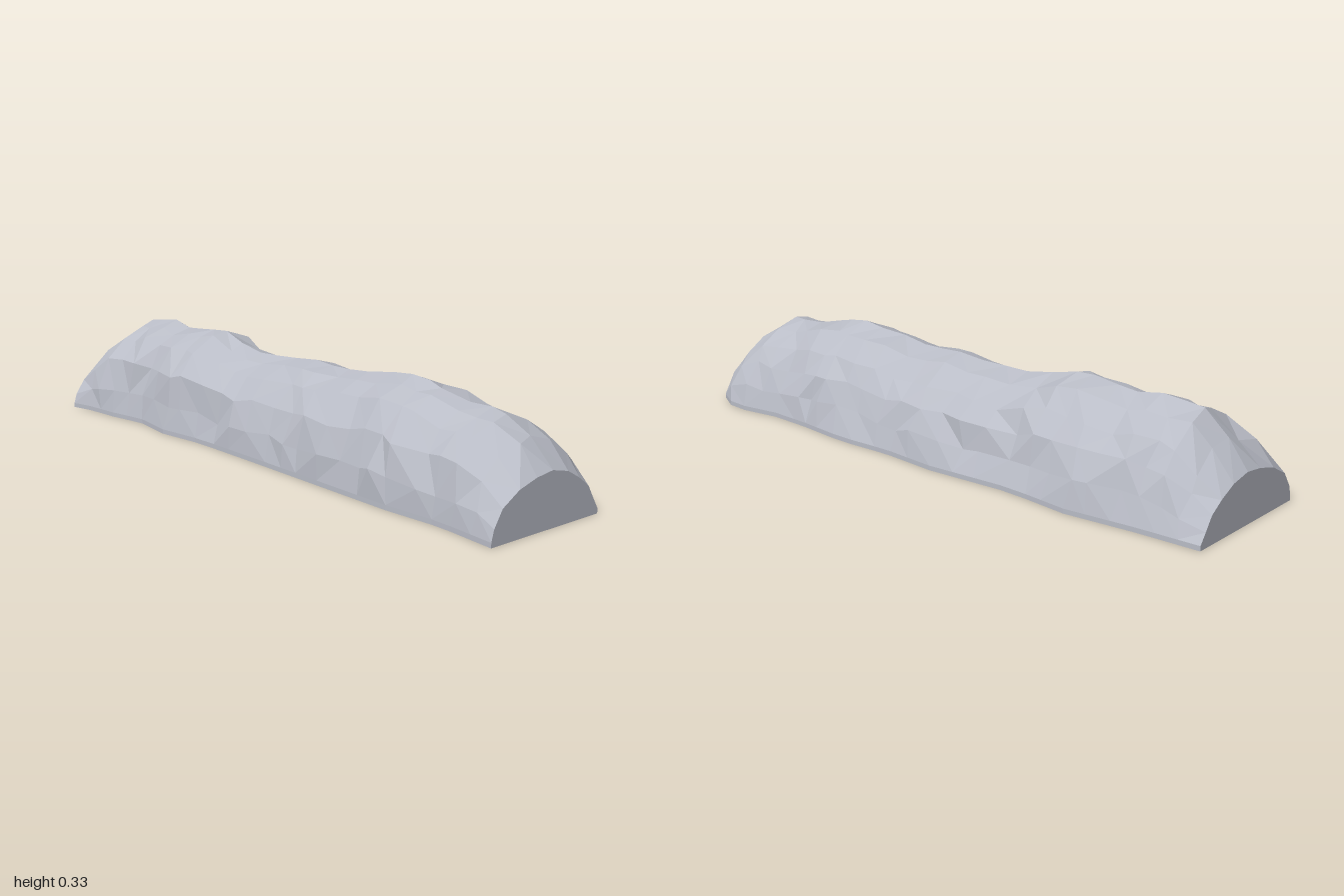
import * as THREE from 'three';

// Outline keys along the length: [x, value]
const TOP = [[-1, .16], [-.93, .24], [-.86, .31], [-.72, .33], [-.64, .317], [-.42, .335], [-.32, .308], [-.22, .288],
  [-.1, .293], [.05, .306], [.2, .303], [.3, .314], [.48, .335], [.6, .317], [.7, .295], [.84, .288], [.92, .24], [1, .163]];
const FRONT = [[-1, .255], [-.92, .235], [-.78, .225], [-.65, .2], [-.48, .225], [-.3, .205], [0, .21], [.2, .215], [.6, .225], [.8, .215], [1, .235]];
const BACK = [[-1, .225], [-.8, .235], [-.57, .258], [-.35, .235], [-.05, .255], [.15, .24], [.35, .25], [.55, .23], [.7, .225], [.86, .25], [.93, .24], [1, .2]];

// Cross-section from front to back: [share of half width, share of height]
const SECTION = [[1, .3], [.96, .3], [.83, .6], [.56, .83], [.27, .95], [0, 1], [-.32, .91], [-.58, .73], [-.78, .54], [-.9, .29], [-1, 0]];
SECTION[0] = [1, 0];

function sample(keys, x) {
  for (let i = 1; i < keys.length; i++) {
    const [x0, v0] = keys[i - 1], [x1, v1] = keys[i];
    if (x <= x1) return v0 + (v1 - v0) * (x - x0) / (x1 - x0);
  }
  return keys[keys.length - 1][1];
}

function seeded(seed) {
  return () => {
    seed = (seed * 16807) % 2147483647;
    return seed / 2147483647 * 2 - 1;
  };
}

function moundGeometry() {
  const rand = seeded(4711), pos = [], idx = [];
  const xs = [-1, -.93, -.86, -.79, -.72, -.64, -.57, -.48, -.42, -.32, -.22, -.14, -.05, .05, .13, .2, .3, .39, .48, .54, .6, .7, .77, .84, .92, 1];
  const n = SECTION.length + 2;

  // Rough rings: flat base, short vertical lip, then the rocky arch
  xs.forEach((x, i) => {
    const end = i === 0 || i === xs.length - 1;
    const h = sample(TOP, x), f = sample(FRONT, x), b = sample(BACK, x);
    pos.push(x, 0, f);
    SECTION.forEach(([w, t], j) => {
      const lip = j === 0 || j === SECTION.length - 1;
      const k = end || lip ? 0 : 1;
      const ridge = j === 5 ? .3 : 1;
      const z = w > 0 ? w * f : w * b;
      pos.push(
        x + k * ridge * rand() * .016,
        lip ? .015 : t * h + k * ridge * rand() * .01,
        z + k * rand() * .011);
    });
    pos.push(x, 0, -b);
  });

  // Skin between rings, with diagonals flipped at random; the wrap closes the base
  for (let i = 0; i < xs.length - 1; i++) {
    for (let j = 0; j < n; j++) {
      const k = (j + 1) % n;
      const a = i * n + j, b = a + n, c = (i + 1) * n + k, d = i * n + k;
      if (rand() > 0) idx.push(a, b, c, a, c, d);
      else idx.push(a, b, d, b, c, d);
    }
  }

  // Flat cut ends, fanned from the middle of the base
  for (const [i, x] of [[0, -1], [xs.length - 1, 1]]) {
    const centre = pos.length / 3;
    pos.push(x, 0, 0);
    for (let j = 0; j < n - 1; j++) {
      const p = i * n + j;
      if (x > 0) idx.push(centre, p + 1, p);
      else idx.push(centre, p, p + 1);
    }
  }

  const g = new THREE.BufferGeometry();
  g.setAttribute('position', new THREE.Float32BufferAttribute(pos, 3));
  g.setIndex(idx);
  const flat = g.toNonIndexed();
  flat.computeVertexNormals();
  return flat;
}

export function createModel() {
  const group = new THREE.Group();
  group.name = 'rockRidge';
  const stone = new THREE.MeshStandardMaterial({ color: 0xb9bcc6, flatShading: true });
  stone.name = 'paleStone';
  const ridge = new THREE.Mesh(moundGeometry(), stone);
  ridge.name = 'ridge';
  group.add(ridge);
  return group;
}
